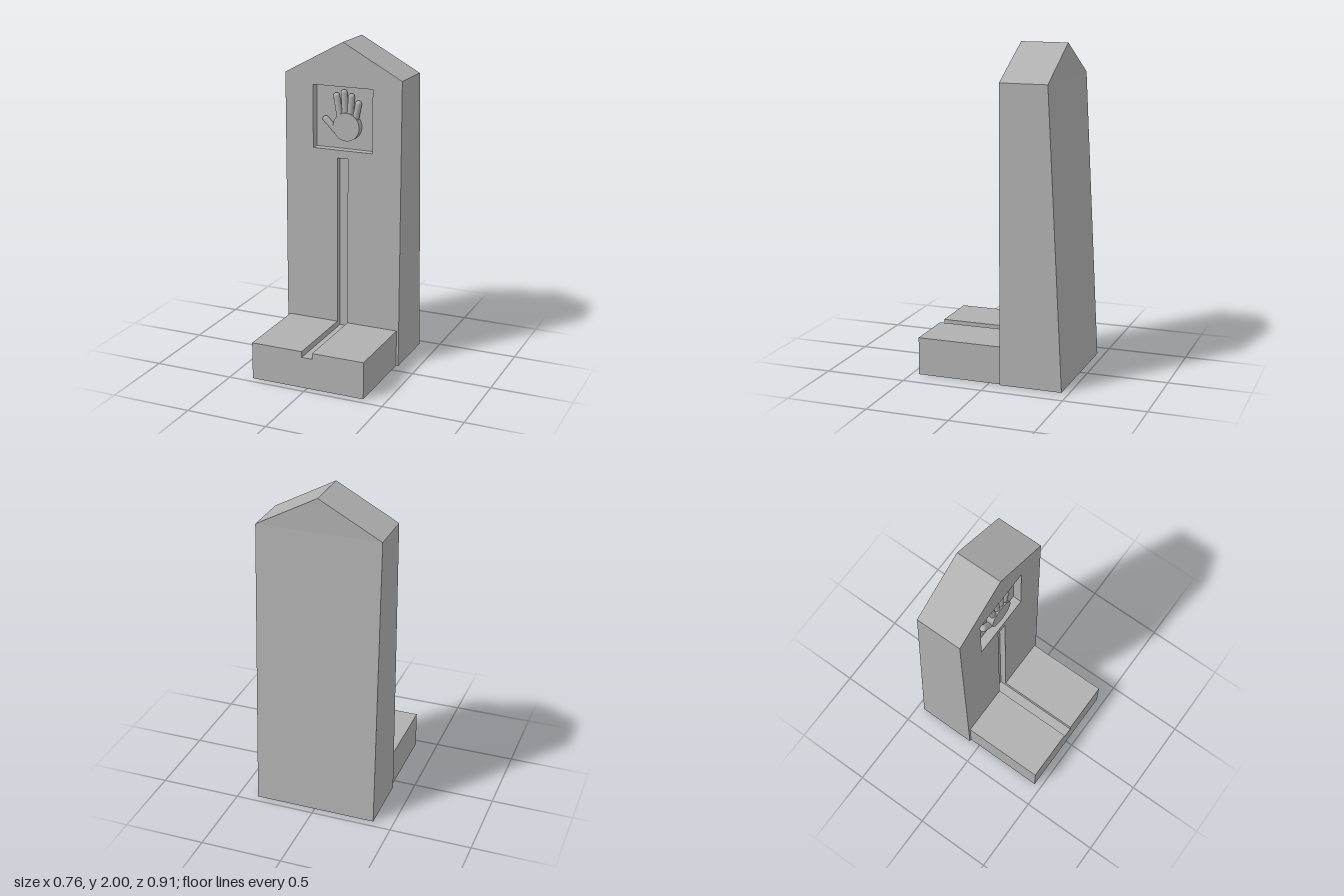
import * as THREE from 'three';

const stone = new THREE.MeshStandardMaterial({ color: 0xb0b0b0 });
stone.name = 'grey stone';

const HALF = 0.378;       // half width of the tower
const FRONT = -0.07;      // tower front
const FLOOR = -0.125;     // floor of the panel recess
const BACK_TOP = -0.36, BACK_BOTTOM = -0.455;
const EAVES = 1.795, PEAK = 2;
const GROOVE = 0.034, GROOVE_Y = 0.195;

const points = (list) => list.map(([x, y]) => new THREE.Vector2(x, y));
const rect = (x0, y0, x1, y1) => points([[x0, y0], [x0, y1], [x1, y1], [x1, y0]]);

// Extrude an outline (with optional holes) from z0 to z1
function prism(outline, z0, z1, holes = []) {
  const shape = new THREE.Shape(points(outline));
  holes.forEach((h) => shape.holes.push(new THREE.Path(h)));
  const g = new THREE.ExtrudeGeometry(shape, { depth: z1 - z0, bevelEnabled: false });
  return g.translate(0, 0, z0);
}

function add(parent, name, geometry) {
  const mesh = new THREE.Mesh(geometry, stone);
  mesh.name = name;
  parent.add(mesh);
  return mesh;
}

export function createModel() {
  const model = new THREE.Group();
  model.name = 'monument';

  // Front slab, pierced by the square panel and the long groove
  add(model, 'towerFront', prism(
    [[-HALF, 0], [HALF, 0], [HALF, EAVES], [0, PEAK], [-HALF, EAVES]], FLOOR, FRONT,
    [rect(-0.195, 1.342, 0.193, 1.732), rect(-GROOVE, GROOVE_Y, GROOVE, 1.292)]));

  // Trunk with the sloping back, drawn in side profile
  const trunk = prism([[BACK_BOTTOM, 0], [FLOOR, 0], [FLOOR, EAVES], [BACK_TOP, EAVES]], -HALF, HALF);
  add(model, 'towerTrunk', trunk.rotateY(-Math.PI / 2));

  // Gable behind the front slab
  add(model, 'gable', prism([[-HALF, EAVES], [HALF, EAVES], [0, PEAK]], BACK_TOP, FLOOR));

  // Groove floor, shallower than the panel
  const grooveFloor = new THREE.BoxGeometry(2 * GROOVE, 1.292 - GROOVE_Y, 0.015);
  add(model, 'grooveFloor', grooveFloor.translate(0, (1.292 + GROOVE_Y) / 2, FLOOR + 0.0075));

  // Plinth with the channel running to its front
  add(model, 'plinth', prism([
    [-0.364, 0], [0.364, 0], [0.364, 0.232], [GROOVE, 0.232], [GROOVE, GROOVE_Y],
    [-GROOVE, GROOVE_Y], [-GROOVE, 0.232], [-0.364, 0.232],
  ], FRONT, 0.455));

  // Hand in relief
  const hand = new THREE.Group();
  hand.name = 'hand';
  model.add(hand);
  const palm = new THREE.CylinderGeometry(0.086, 0.086, 0.045, 40).rotateX(Math.PI / 2);
  add(hand, 'palm', palm.translate(0.016, 1.485, FLOOR + 0.0225));

  const fingers = [
    ['thumb', -0.126, 1.52, -0.055, 1.45],
    ['indexFinger', -0.055, 1.668, -0.033, 1.54],
    ['middleFinger', -0.006, 1.69, 0.003, 1.55],
    ['ringFinger', 0.042, 1.67, 0.034, 1.55],
    ['littleFinger', 0.088, 1.63, 0.068, 1.53],
  ];
  for (const [name, x0, y0, x1, y1] of fingers) {
    const length = Math.hypot(x0 - x1, y0 - y1);
    const finger = add(hand, name, new THREE.CapsuleGeometry(0.02, length, 8, 20));
    finger.position.set((x0 + x1) / 2, (y0 + y1) / 2, FLOOR + 0.02);
    finger.rotation.z = Math.atan2(x1 - x0, y0 - y1);
  }
  return model;
}
